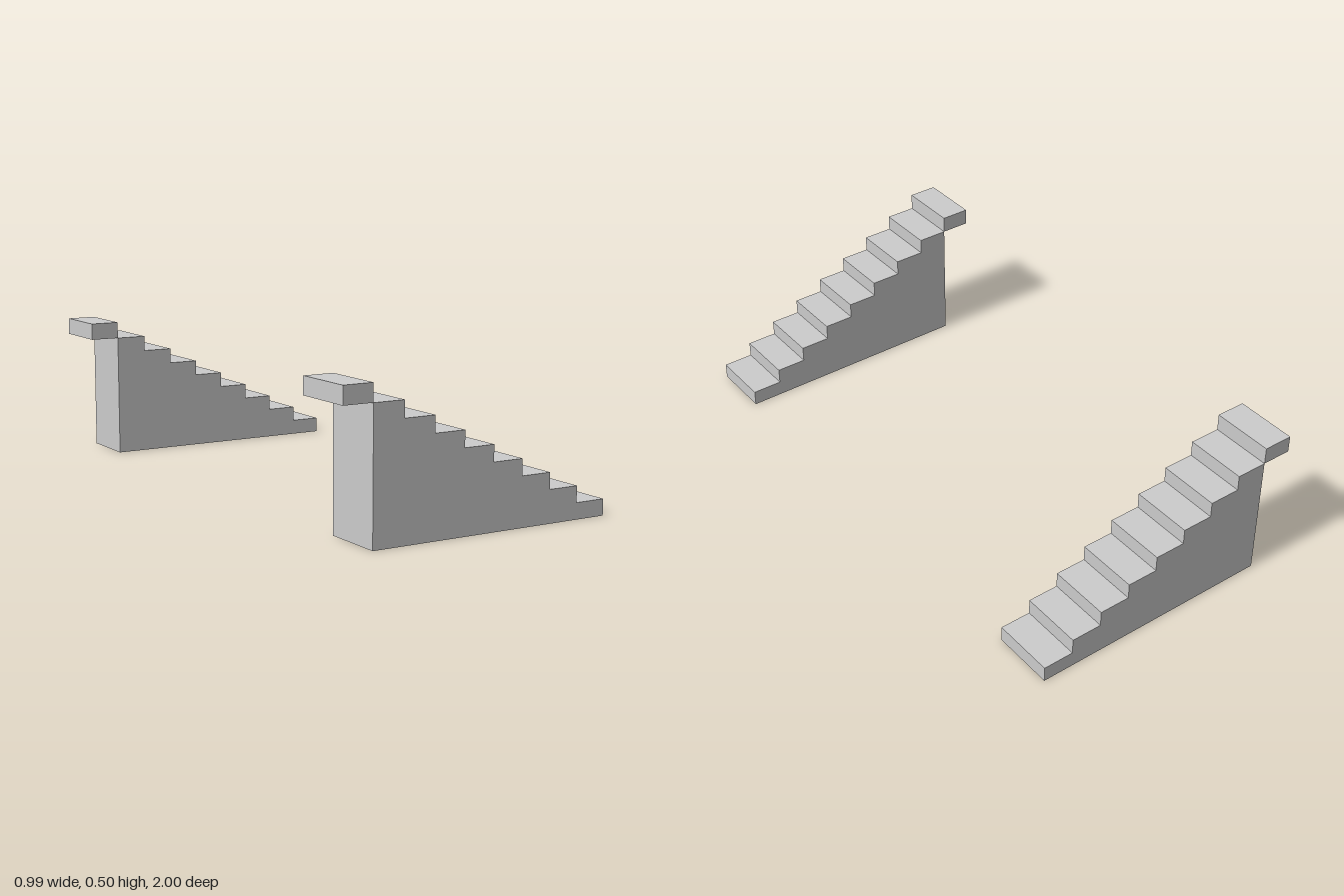
import * as THREE from 'three';
import { mergeGeometries } from 'three/addons/utils/BufferGeometryUtils.js';

const STEPS = 8, RUN = 0.111, RISE = 0.0556;
const FRONT = 0.497, BACK = FRONT - STEPS * RUN; // ends of the stepped body
const DEPTH = 0.222, TOP = 0.505;

// Stepped outline from the foot of the first riser to the foot of the back wall
function stairProfile() {
  const points = [new THREE.Vector2(FRONT, 0)];
  for (let i = 0; i < STEPS; i++) {
    const y = (i + 1) * RISE;
    points.push(new THREE.Vector2(FRONT - i * RUN, y));
    points.push(new THREE.Vector2(FRONT - (i + 1) * RUN, y));
  }
  points.push(new THREE.Vector2(BACK, 0));
  return points;
}

// Sweeps the outline across the depth: risers, treads and back wall, no floor
function sweepProfile(points) {
  const h = DEPTH / 2, positions = [];
  for (let i = 0; i < points.length - 1; i++) {
    const p = points[i], q = points[i + 1];
    const a = [p.x, p.y, h], b = [p.x, p.y, -h], c = [q.x, q.y, -h], d = [q.x, q.y, h];
    positions.push(...a, ...b, ...c, ...a, ...c, ...d);
  }
  const geometry = new THREE.BufferGeometry();
  geometry.setAttribute('position', new THREE.Float32BufferAttribute(positions, 3));
  geometry.computeVertexNormals();
  return geometry;
}

function sideWalls(points) {
  const wall = new THREE.ShapeGeometry(new THREE.Shape(points)).toNonIndexed();
  wall.deleteAttribute('uv');
  const back = wall.clone().rotateY(Math.PI).scale(-1, 1, 1);
  // the mirror flips the winding, so swap two corners of each triangle
  const pos = back.attributes.position;
  for (let i = 0; i < pos.count; i += 3) {
    const x = pos.getX(i), y = pos.getY(i);
    pos.setXY(i, pos.getX(i + 1), pos.getY(i + 1));
    pos.setXY(i + 1, x, y);
  }
  back.computeVertexNormals();
  return mergeGeometries([wall.translate(0, 0, DEPTH / 2), back.translate(0, 0, -DEPTH / 2)]);
}

export function createModel() {
  const model = new THREE.Group();
  model.name = 'stairPair';
  const shell = new THREE.MeshStandardMaterial({ color: 0xcccccc, flatShading: true, side: THREE.DoubleSide });

  const profile = stairProfile();
  const stepsGeometry = sweepProfile(profile);
  const wallsGeometry = sideWalls(profile);

  // Overhanging top slab
  const slabBottom = STEPS * RISE, slabWidth = FRONT + BACK;
  const slabGeometry = new THREE.BoxGeometry(slabWidth, TOP - slabBottom, DEPTH);
  slabGeometry.translate(BACK - slabWidth / 2, (TOP + slabBottom) / 2, 0);

  // Two matching flights, one at each end
  for (const side of [1, -1]) {
    const flight = new THREE.Group();
    flight.name = side > 0 ? 'frontStairs' : 'backStairs';
    const parts = { steps: stepsGeometry, sideWalls: wallsGeometry, topSlab: slabGeometry };
    for (const [name, geometry] of Object.entries(parts)) {
      const mesh = new THREE.Mesh(geometry, shell);
      mesh.name = name;
      flight.add(mesh);
    }
    flight.position.z = side * (1 - DEPTH / 2);
    model.add(flight);
  }
  return model;
}
